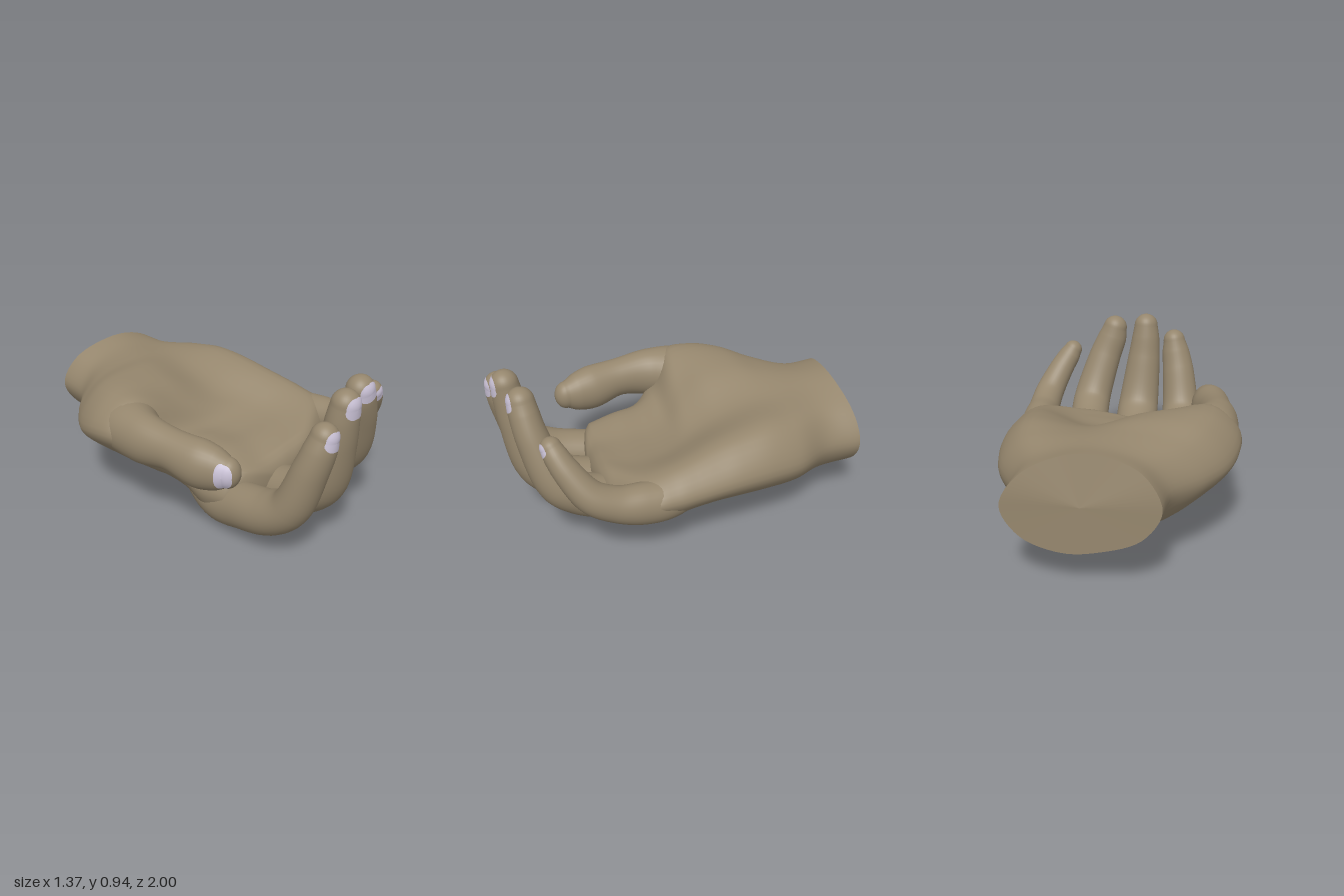
import * as THREE from 'three';

const V = (x, y, z) => new THREE.Vector3(x, y, z);
const skin = new THREE.MeshStandardMaterial({ color: 0x95866d });
const nailMaterial = new THREE.MeshStandardMaterial({ color: 0xc8c0d4 });

// Skin a list of closed rings (counter-clockwise about the direction of travel)
function loft(rings) {
  const n = rings[0].length;
  const index = [];
  for (let i = 0; i < rings.length - 1; i++) {
    for (let j = 0; j < n; j++) {
      const a = i * n + j, b = i * n + (j + 1) % n;
      index.push(a, b, a + n, b, b + n, a + n);
    }
  }
  const geometry = new THREE.BufferGeometry().setFromPoints(rings.flat());
  geometry.setIndex(index);
  geometry.computeVertexNormals();
  return geometry;
}

function addMesh(parent, name, geometry, material = skin) {
  const mesh = new THREE.Mesh(geometry, material);
  mesh.name = name;
  parent.add(mesh);
}

// Palm stations: z, right edge x y, left edge x y, four top heights, four bottom heights
const ACROSS = [0.12, 0.38, 0.62, 0.88];
const PALM = [
  [-1.00, -0.36, 0.46, 0.42, 0.42, 0.62, 0.69, 0.68, 0.58, 0.30, 0.22, 0.20, 0.27],
  [-0.80, -0.38, 0.45, 0.43, 0.42, 0.60, 0.67, 0.66, 0.59, 0.28, 0.19, 0.18, 0.25],
  [-0.60, -0.54, 0.45, 0.55, 0.43, 0.62, 0.68, 0.655, 0.62, 0.28, 0.15, 0.14, 0.25],
  [-0.43, -0.645, 0.47, 0.60, 0.44, 0.67, 0.70, 0.63, 0.64, 0.31, 0.13, 0.11, 0.25],
  [-0.25, -0.685, 0.52, 0.63, 0.44, 0.695, 0.67, 0.57, 0.62, 0.33, 0.11, 0.09, 0.25],
  [-0.11, -0.66, 0.53, 0.645, 0.43, 0.68, 0.58, 0.51, 0.59, 0.33, 0.09, 0.08, 0.25],
  [0.00, -0.50, 0.45, 0.655, 0.42, 0.49, 0.46, 0.48, 0.56, 0.22, 0.07, 0.07, 0.25],
  [0.12, -0.41, 0.34, 0.665, 0.41, 0.45, 0.43, 0.455, 0.53, 0.13, 0.04, 0.07, 0.24],
  [0.27, -0.39, 0.26, 0.655, 0.40, 0.43, 0.42, 0.44, 0.49, 0.06, 0.03, 0.10, 0.25],
  [0.42, -0.36, 0.25, 0.44, 0.32, 0.38, 0.38, 0.41, 0.42, 0.11, 0.09, 0.12, 0.19],
];

function addPalm(parent) {
  const SIDES = 60, STEPS = 63;
  const stations = PALM.map(([z, xr, yr, xl, yl, ...h]) => {
    const at = (k, y) => V(xr + (xl - xr) * ACROSS[k], y, z);
    const bottom = h.slice(4).map((y, k) => at(k, y));
    const top = h.slice(0, 4).map((y, k) => at(k, y)).reverse();
    const ring = new THREE.CatmullRomCurve3([V(xr, yr, z), ...bottom, V(xl, yl, z), ...top], true);
    return Array.from({ length: SIDES }, (_, j) => ring.getPoint(j / SIDES));
  });
  // the wrist edge leans forward towards its top
  for (const p of stations[0]) p.z += 0.05 * (Math.max(0, p.y - 0.45) / 0.24) ** 2;
  const lines = stations[0].map((_, j) => new THREE.CatmullRomCurve3(stations.map((s) => s[j])));
  const rings = [];
  for (let i = 0; i <= STEPS; i++) rings.push(lines.map((line) => line.getPoint(i / STEPS)));

  // rounded closing between the fingers
  const last = rings[STEPS];
  const middle = last.reduce((sum, p) => sum.add(p), V(0, 0, 0)).divideScalar(SIDES);
  for (const [scale, dz] of [[0.85, 0.03], [0.6, 0.05], [0.3, 0.06], [0, 0.062]]) {
    rings.push(last.map((p) => middle.clone().lerp(p, scale).setZ(middle.z + dz)));
  }
  addMesh(parent, 'palm', loft(rings));

  // cut at the wrist, facing backwards
  const centre = V(0.03, 0.44, -0.995);
  const cut = loft([rings[0].map(() => centre.clone()), rings[0].map((p) => p.clone())]);
  addMesh(parent, 'wristCut', cut);
}

// Digit rows: x, y, z, half width, half depth; from inside the palm to the centre of the tip
const DIGITS = {
  indexFinger: {
    rows: [[-0.2, 0.22, 0.05, 0.1, 0.1], [-0.24, 0.165, 0.28, 0.125, 0.13], [-0.255, 0.2, 0.47, 0.125, 0.13],
      [-0.26, 0.255, 0.67, 0.125, 0.12], [-0.25, 0.345, 0.79, 0.118, 0.107], [-0.22, 0.58, 0.878, 0.102, 0.092],
      [-0.197, 0.7, 0.91, 0.088, 0.083], [-0.185, 0.77, 0.922, 0.07, 0.072]],
  },
  middleFinger: {
    rows: [[0.02, 0.22, 0.05, 0.1, 0.1], [0.025, 0.145, 0.27, 0.125, 0.135], [0.03, 0.185, 0.46, 0.13, 0.135],
      [0.03, 0.255, 0.66, 0.132, 0.122], [0.03, 0.36, 0.78, 0.13, 0.11], [0.008, 0.65, 0.86, 0.106, 0.092],
      [0, 0.79, 0.882, 0.09, 0.083], [0, 0.87, 0.893, 0.076, 0.075]],
  },
  ringFinger: {
    rows: [[0.24, 0.27, 0.05, 0.1, 0.1], [0.265, 0.215, 0.27, 0.12, 0.13], [0.295, 0.26, 0.43, 0.12, 0.125],
      [0.322, 0.33, 0.59, 0.12, 0.115], [0.325, 0.42, 0.7, 0.118, 0.105], [0.26, 0.67, 0.795, 0.103, 0.088],
      [0.212, 0.8, 0.823, 0.092, 0.08], [0.195, 0.865, 0.832, 0.076, 0.073]],
  },
  littleFinger: {
    rows: [[0.48, 0.38, -0.05, 0.07, 0.07], [0.55, 0.375, 0.14, 0.1, 0.11], [0.572, 0.385, 0.29, 0.105, 0.115],
      [0.583, 0.415, 0.43, 0.096, 0.097], [0.578, 0.485, 0.56, 0.09, 0.086], [0.52, 0.62, 0.665, 0.077, 0.072],
      [0.477, 0.695, 0.708, 0.068, 0.063], [0.456, 0.732, 0.725, 0.057, 0.055]],
    nailAngle: -1.3,
  },
  thumb: {
    rows: [[-0.42, 0.5, -0.42, 0.1, 0.1], [-0.49, 0.53, -0.2, 0.165, 0.15], [-0.532, 0.53, 0, 0.125, 0.145],
      [-0.512, 0.53, 0.19, 0.102, 0.118], [-0.475, 0.505, 0.36, 0.113, 0.135], [-0.447, 0.5, 0.46, 0.095, 0.118],
      [-0.43, 0.5, 0.525, 0.068, 0.085]],
    nailAngle: Math.PI,
  },
};

// Surface of a digit: u 0..1 runs along the path, 1..2 over the rounded tip
function digitSurface(rows) {
  const path = new THREE.CatmullRomCurve3(rows.map(([x, y, z]) => V(x, y, z)));
  const size = new THREE.CatmullRomCurve3(rows.map((r) => V(r[3], r[4], 0)), false, 'catmullrom');
  return (u, angle, scale = 1) => {
    const t = Math.min(u, 1), tip = Math.max(u - 1, 0) * Math.PI / 2;
    const along = path.getTangent(t), r = size.getPoint(t);
    const side = V(1, 0, 0).addScaledVector(along, -along.x).normalize();
    const depth = along.clone().cross(side);
    const k = Math.cos(tip) * scale;
    return path.getPoint(t)
      .addScaledVector(along, Math.sin(tip) * Math.min(r.x, r.y) * scale)
      .addScaledVector(side, Math.cos(angle) * r.x * k)
      .addScaledVector(depth, Math.sin(angle) * r.y * k);
  };
}

function addDigit(parent, name, { rows, nailAngle = -Math.PI / 2 }) {
  const SIDES = 32, STEPS = 56, TIP = 10;
  const digit = new THREE.Group();
  digit.name = name;
  parent.add(digit);
  const surface = digitSurface(rows);
  const rings = [];
  for (let i = 0; i <= STEPS + TIP; i++) {
    const u = i <= STEPS ? i / STEPS : 1 + (i - STEPS) / TIP;
    rings.push(Array.from({ length: SIDES }, (_, j) => surface(u, j / SIDES * Math.PI * 2)));
  }
  addMesh(digit, name + 'Skin', loft(rings));

  // nail: a disc laid on the back of the tip, slightly raised
  const nail = new THREE.RingGeometry(0.001, 1, 24, 5);
  const pos = nail.attributes.position;
  for (let i = 0; i < pos.count; i++) {
    const x = pos.getX(i), y = pos.getY(i);
    const square = 1 + 0.25 * Math.abs(x * y);
    const p = surface(1 + y * square * (y < 0 ? 0.09 : 0.5), nailAngle + x * square * 0.85, 1.03);
    pos.setXYZ(i, p.x, p.y, p.z);
  }
  nail.computeVertexNormals();
  addMesh(digit, name + 'Nail', nail, nailMaterial);
}

export function createModel() {
  const hand = new THREE.Group();
  hand.name = 'cuppedHand';
  addPalm(hand);
  for (const [name, spec] of Object.entries(DIGITS)) addDigit(hand, name, spec);
  return hand;
}
